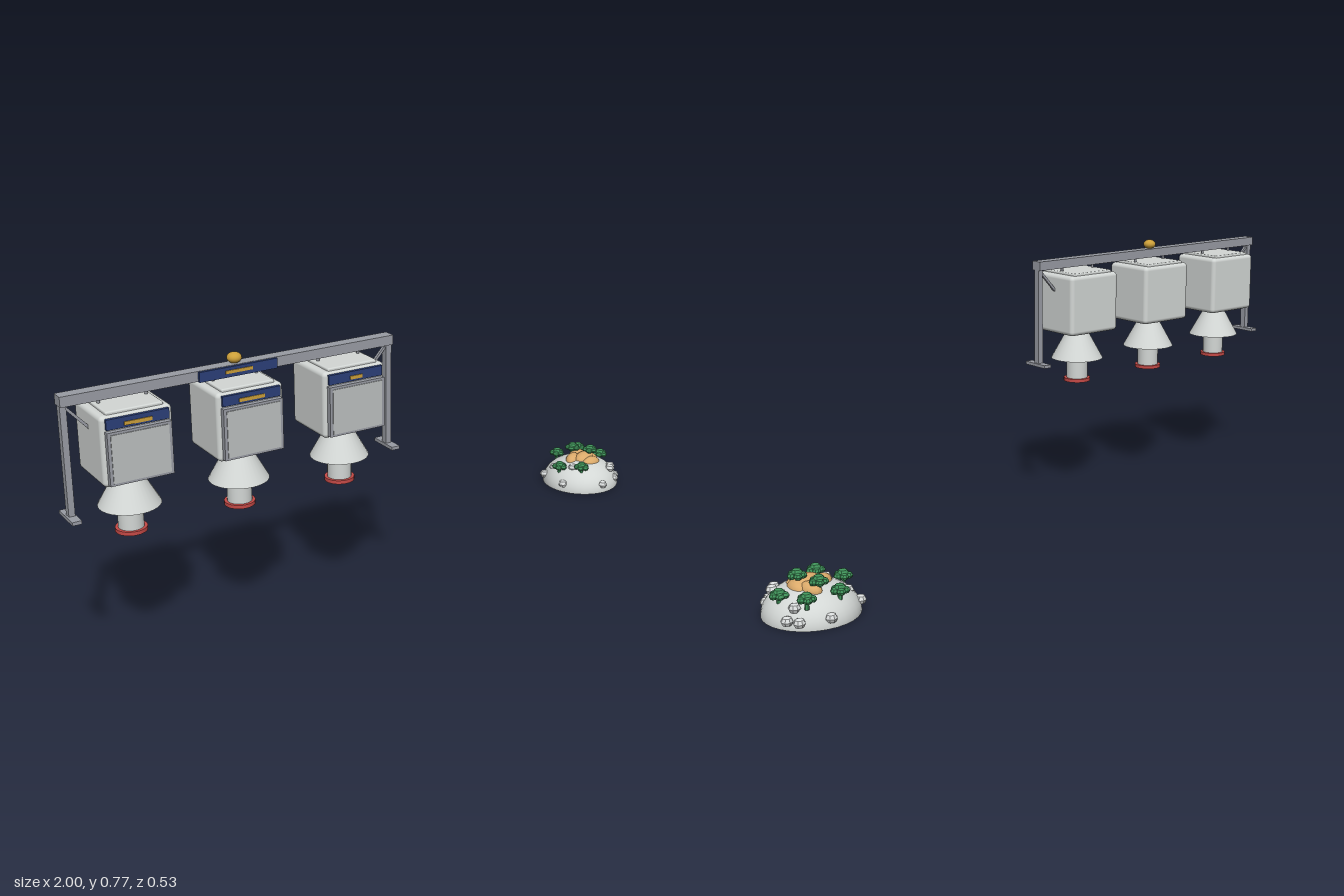
import * as THREE from 'three';
import { RoundedBoxGeometry } from 'three/addons/geometries/RoundedBoxGeometry.js';

const flat = (name, color, flatShading = false) => {
  const m = new THREE.MeshStandardMaterial({ color, flatShading });
  m.name = name;
  return m;
};

export function createModel() {
  const M = {
    shell: flat('pale shell', 0xd3d7d5),
    panel: flat('panel grey', 0xbcc0c0),
    steel: flat('steel grey', 0x999ca4),
    navy: flat('navy', 0x2b3f78),
    gold: flat('gold', 0xcda03a),
    red: flat('red', 0xc64a47),
    rock: flat('rock', 0xdadddd, true),
    sand: flat('sand', 0xdcab6b),
    leaf: flat('leaf green', 0x3f9259, true),
  };
  const model = new THREE.Group();
  model.name = 'gantryAndIsland';

  const add = (parent, name, geo, mat, x, y, z) => {
    const mesh = new THREE.Mesh(geo, mat);
    mesh.name = name;
    mesh.position.set(x, y, z);
    parent.add(mesh);
    return mesh;
  };
  const box = (w, h, d) => new THREE.BoxGeometry(w, h, d);
  const group = (parent, name, x, y, z) => {
    const g = new THREE.Group();
    g.name = name;
    g.position.set(x, y, z);
    parent.add(g);
    return g;
  };

  // Gantry: beam, end posts, feet and diagonal braces
  const gantry = group(model, 'gantry', -0.54, 0, 0.171);
  add(gantry, 'beam', box(0.912, 0.026, 0.034), M.steel, 0, 0.727, 0);
  for (const s of [-1, 1]) {
    add(gantry, 'post', box(0.016, 0.3, 0.019), M.steel, s * 0.447, 0.58, 0);
    add(gantry, 'foot', box(0.024, 0.009, 0.087), M.steel, s * 0.448, 0.4325, 0);
    const brace = add(gantry, 'brace', box(0.08, 0.007, 0.008), M.steel, s * 0.412, 0.677, 0);
    brace.rotation.z = s * 0.83;
  }
  add(gantry, 'beamSign', box(0.214, 0.026, 0.009), M.navy, 0, 0.726, 0.02);
  add(gantry, 'signBar', box(0.075, 0.008, 0.003), M.gold, 0, 0.727, 0.0255);
  add(gantry, 'topBall', new THREE.SphereGeometry(0.019, 20, 14), M.gold, 0, 0.753, 0)
    .scale.y = 0.74;

  // Three hanging pods, each with a bell skirt and a nozzle
  const barWidths = [0.07, 0.07, 0.037];
  barWidths.forEach((barWidth, i) => {
    const pod = group(model, 'pod', -0.837 + i * 0.297, 0, 0.171);
    add(pod, 'body', new RoundedBoxGeometry(0.182, 0.177, 0.163, 3, 0.012), M.shell, 0, 0.6075, 0);
    add(pod, 'lid', new RoundedBoxGeometry(0.145, 0.012, 0.143, 2, 0.004), M.shell, 0, 0.697, 0);
    for (const s of [-1, 1])
      add(pod, 'hanger', new THREE.CylinderGeometry(0.004, 0.004, 0.02, 8), M.steel, s * 0.06, 0.709, 0);
    add(pod, 'doorFrame', box(0.162, 0.133, 0.016), M.steel, 0, 0.5935, 0.087);
    add(pod, 'door', box(0.146, 0.12, 0.003), M.panel, 0, 0.5935, 0.0955);
    add(pod, 'header', box(0.158, 0.026, 0.009), M.navy, 0, 0.677, 0.0835);
    add(pod, 'headerBar', box(barWidth, 0.009, 0.003), M.gold, 0, 0.674, 0.089);
    add(pod, 'skirt', new THREE.CylinderGeometry(0.03, 0.078, 0.086, 32), M.shell, 0, 0.477, 0);
    add(pod, 'neck', new THREE.CylinderGeometry(0.032, 0.032, 0.064, 24), M.shell, 0, 0.402, 0);
    add(pod, 'nozzleRing', new THREE.CylinderGeometry(0.04, 0.04, 0.01, 24), M.red, 0, 0.368, 0);
  });

  // Island: a low dome with a flat underside
  const island = group(model, 'island', 0.872, 0, -0.13);
  const dome = new THREE.SphereGeometry(0.123, 32, 12, 0, Math.PI * 2, 0, Math.PI / 2);
  add(island, 'dome', dome, M.shell, 0, 0, 0).scale.y = 0.69;
  add(island, 'underside', new THREE.CircleGeometry(0.123, 32), M.shell, 0, 0, 0)
    .rotation.x = Math.PI / 2;

  // Sand mound made of overlapping lobes: x, y, z, half length, turn
  const lobes = [
    [0.01, 0.078, 0.005, 0.045, 0.3], [-0.025, 0.074, -0.012, 0.036, 0.6],
    [0.035, 0.07, 0.0, 0.038, 1.5], [0.012, 0.07, 0.034, 0.036, 0.1],
    [0.02, 0.072, -0.034, 0.034, 1.9],
  ];
  for (const [x, y, z, r, turn] of lobes) {
    const lobe = add(island, 'sandLobe', new THREE.SphereGeometry(r, 16, 10), M.sand, x, y, z);
    lobe.scale.set(1, 0.022 / r, 0.62);
    lobe.rotation.y = turn;
  }

  // Trees: x, z and crown top, with a ring of small leaf clumps round each crown
  const trees = [
    [-0.03, -0.087, 0.093], [0.061, -0.087, 0.093], [0.008, -0.054, 0.115],
    [-0.094, 0.004, 0.088], [-0.051, 0.063, 0.096], [0.034, 0.004, 0.12], [0.093, -0.012, 0.088],
  ];
  const clump = new THREE.SphereGeometry(0.0115, 8, 4);
  const trunk = new THREE.CylinderGeometry(0.005, 0.006, 0.032, 6);
  for (const [x, z, top] of trees) {
    const tree = group(island, 'tree', x, top, z);
    add(tree, 'trunk', trunk, M.leaf, 0, -0.028, 0);
    add(tree, 'crown', new THREE.SphereGeometry(0.015, 8, 4), M.leaf, 0, -0.01, 0).scale.y = 0.7;
    for (let k = 0; k < 5; k++) {
      const a = k * Math.PI * 0.4;
      add(tree, 'leafClump', clump, M.leaf, Math.cos(a) * 0.014, -0.017, Math.sin(a) * 0.014)
        .scale.y = 0.8;
    }
  }

  // Rocks on the shore and slope: x, z, y
  const rocks = [
    [0.013, -0.116, 0.025], [-0.103, -0.06, 0.025], [0.088, -0.097, 0.025], [0.105, -0.068, 0.025],
    [-0.003, 0.114, 0.025], [0.066, 0.09, 0.025], [0.085, 0.07, 0.025], [-0.107, 0.04, 0.025],
    [0.072, 0.063, 0.057], [0.058, 0.078, 0.057], [0.08, -0.062, 0.05],
    [-0.06, 0.03, 0.068], [-0.08, -0.04, 0.05],
  ];
  const stone = new THREE.SphereGeometry(0.0155, 8, 4);
  for (const [x, z, y] of rocks)
    add(island, 'rock', stone, M.rock, x, y, z).scale.y = 0.85;

  return model;
}
